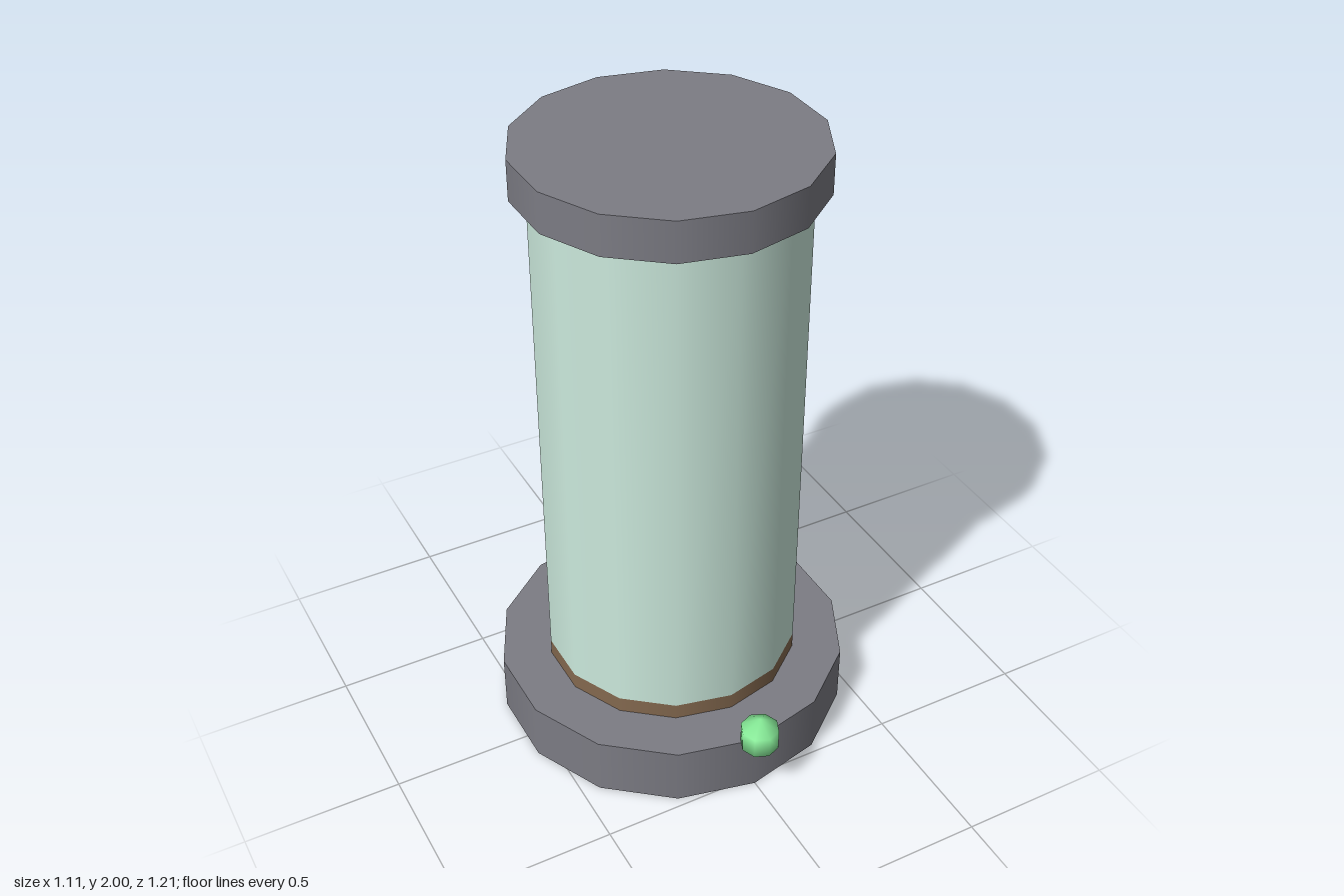
import * as THREE from 'three';

const SIDES = 14;
const AXIS_Z = -0.04; // the column stands slightly behind the centre

export function createModel() {
  const group = new THREE.Group();
  group.name = 'displayColumn';

  const metal = new THREE.MeshStandardMaterial({ color: 0x7c7c84 });
  const glass = new THREE.MeshStandardMaterial({ color: 0xcceadd });
  const soil = new THREE.MeshStandardMaterial({ color: 0x84694f });
  const light = new THREE.MeshStandardMaterial({ color: 0x88ee99 });

  // One smooth-sided drum between two heights
  const addDrum = (name, radius, bottom, top, material) => {
    const geometry = new THREE.CylinderGeometry(radius, radius, top - bottom, SIDES);
    const mesh = new THREE.Mesh(geometry, material);
    mesh.name = name;
    mesh.position.set(0, (top + bottom) / 2, AXIS_Z);
    group.add(mesh);
  };

  addDrum('base', 0.567, 0, 0.195, metal);
  addDrum('soilLayer', 0.407, 0.195, 0.248, soil);
  addDrum('glassTube', 0.407, 0.248, 1.875, glass);
  addDrum('topCap', 0.455, 1.875, 2, metal);

  // Small indicator bead on the front rim of the base
  const bead = new THREE.Mesh(new THREE.SphereGeometry(0.07, 8, 3), light);
  bead.name = 'indicatorBead';
  bead.position.set(0, 0.23, 0.545);
  group.add(bead);

  return group;
}
